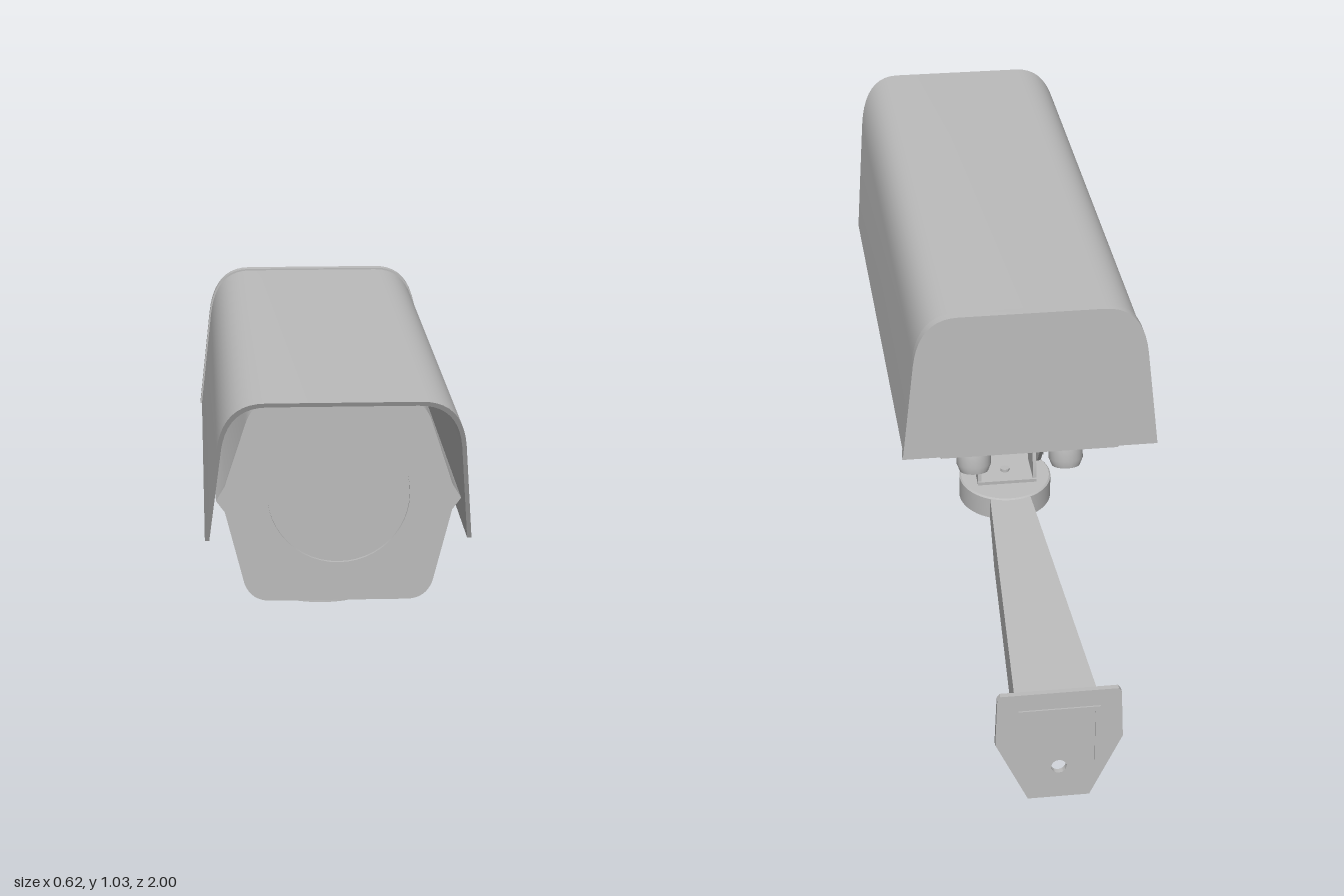
import * as THREE from 'three';
import { toCreasedNormals } from 'three/addons/utils/BufferGeometryUtils.js';

const grey = new THREE.MeshStandardMaterial({ color: 0xbcbcbc });
grey.name = 'painted metal grey';
const V = (x, y) => new THREE.Vector2(x, y);

function add(parent, name, geometry, x = 0, y = 0, z = 0) {
  const mesh = new THREE.Mesh(geometry, grey);
  mesh.name = name;
  mesh.position.set(x, y, z);
  parent.add(mesh);
  return mesh;
}

// Extrude a shape from z0 to z1, optionally moving each vertex by a rule
function slab(shape, z0, z1, rule) {
  const g = new THREE.ExtrudeGeometry(shape, { depth: z1 - z0, bevelEnabled: false, curveSegments: 24 });
  g.translate(0, 0, z0);
  if (rule) {
    const p = g.attributes.position;
    const v = new THREE.Vector3();
    for (let i = 0; i < p.count; i++) {
      v.fromBufferAttribute(p, i);
      rule(v);
      p.setXYZ(i, v.x, v.y, v.z);
    }
  }
  return toCreasedNormals(g, 0.5);
}

const bezier = (a, b, c, n = 8) => new THREE.QuadraticBezierCurve(V(...a), V(...b), V(...c)).getPoints(n);
const mirrored = (half) => [...half, ...half.map((p) => V(-p.x, p.y)).reverse()];

// Right half of the hood arch, from the lower edge to the flat top
const archHalf = (t) => [V(0.304 - t, 0.66),
  ...bezier([0.276 - t, 0.91], [0.262 - t, 1.028 - t], [0.17 - t * 0.5, 1.028 - t], 10)];

// Right half of the housing section, from the bottom to the top
const bodyHalf = [
  ...bezier([0.155, 0.518], [0.2, 0.518], [0.215, 0.56]),
  V(0.258, 0.73), V(0.278, 0.757), V(0.258, 0.79),
  ...bezier([0.212, 0.93], [0.195, 0.99], [0.14, 0.99]),
];

// Inclined line along the arm's upper surface
const armTop = (z) => 0.321 + z * 0.067;
const armHalf = (z) => 0.05 + (-0.1 - z) * 0.057;

function buildHood(root) {
  const arch = mirrored(archHalf(0));
  const inner = mirrored(archHalf(0.01)).reverse();
  const slanted = (v) => { if (v.z > 0) v.z = 0.81 + 0.19 * (v.y - 0.66) / 0.368; };
  add(root, 'sunHood', slab(new THREE.Shape([...arch, ...inner]), -0.5, 1, slanted));
  const cap = mirrored(archHalf(-0.004));
  add(root, 'hoodRearCap', slab(new THREE.Shape(cap), -0.508, -0.482));
}

function buildHousing(root) {
  const outline = mirrored(bodyHalf);
  add(root, 'housing', slab(new THREE.Shape(outline), -0.225, 0.8));
  // Rear part with an underside rising to the back
  const rise = (v) => { v.y = Math.max(v.y, 0.59 + (-0.225 - v.z) * 0.21); };
  add(root, 'housingRear', slab(new THREE.Shape(outline), -0.49, -0.225, rise));
  add(root, 'rearFlange', new THREE.BoxGeometry(0.32, 0.012, 0.025), 0, 0.515, -0.22);

  // Front plate with a round window
  const plate = new THREE.Shape(outline);
  plate.holes.push(new THREE.Path().absarc(0, 0.77, 0.162, 0, Math.PI * 2, true));
  add(root, 'frontPlate', slab(plate, 0.8, 0.818));
  add(root, 'windowGlass', new THREE.CircleGeometry(0.164, 48), 0, 0.77, 0.81);

  // Cable glands on the sloping underside
  for (const s of [1, -1]) {
    const gland = new THREE.Group();
    gland.name = 'cableGland';
    gland.position.set(s * 0.115, 0.61, -0.3);
    gland.rotation.x = 0.2;
    root.add(gland);
    add(gland, 'glandCollar', new THREE.CylinderGeometry(0.058, 0.058, 0.02, 24), 0, -0.015, 0);
    const nut = new THREE.CylinderGeometry(0.05, 0.05, 0.03, 6);
    add(gland, 'glandNut', toCreasedNormals(nut, 0.5), 0, -0.038, 0);
    const tip = [[0.043, 0], [0.043, -0.035], [0.035, -0.055], [0.02, -0.06], [0.018, -0.04], [0, -0.04]];
    const lathe = new THREE.LatheGeometry(tip.map((p) => V(...p)).reverse(), 24);
    add(gland, 'glandTip', toCreasedNormals(lathe, 0.5), 0, -0.05, 0);
  }
}

// Side plate drawn as (z, y) points, extruded along x and centred on x
function sidePlate(parent, name, points, x, thickness) {
  const g = slab(new THREE.Shape(points.map((p) => V(-p[0], p[1]))), -thickness / 2, thickness / 2);
  g.rotateY(Math.PI / 2);
  return add(parent, name, g, x);
}

function buildBracket(root) {
  add(root, 'tiltPlate', new THREE.BoxGeometry(0.18, 0.014, 0.31), 0, 0.507, -0.025);
  add(root, 'tiltPlateScrew', new THREE.CylinderGeometry(0.016, 0.016, 0.012, 16), 0, 0.496, -0.02);
  const ear = [[0.13, 0.514], [0.115, 0.478], [0.05, 0.455], [0.005, 0.385], [-0.015, 0.365],
    [-0.055, 0.365], [-0.085, 0.385], [-0.14, 0.45], [-0.185, 0.508], [-0.185, 0.514]];
  const lug = [[0.012, 0.32], [0.012, 0.365], [-0.005, 0.43], [-0.03, 0.442],
    [-0.06, 0.43], [-0.08, 0.365], [-0.08, 0.32]];
  for (const s of [1, -1]) {
    sidePlate(root, 'tiltEar', ear, s * 0.083, 0.009);
    sidePlate(root, 'swivelLug', lug, s * 0.072, 0.009);
    const bolt = (name, r, len, x, n) => {
      const g = new THREE.CylinderGeometry(r, r, len, n).rotateZ(Math.PI / 2);
      add(root, name, toCreasedNormals(g, 0.5), s * x, 0.393, -0.035);
    };
    bolt('boltShank', 0.008, 0.04, 0.076, 12);
    bolt('boltHead', 0.02, 0.012, 0.094, 6);
    bolt('boltNut', 0.015, 0.008, 0.063, 6);
  }
  add(root, 'swivelBase', new THREE.BoxGeometry(0.153, 0.01, 0.1), 0, 0.326, -0.035).rotation.x = -0.067;
  add(root, 'swivelScrew', new THREE.CylinderGeometry(0.012, 0.012, 0.01, 12), 0, 0.333, -0.035);
}

function buildArm(root) {
  // Hollow round head, open underneath
  const cup = [[0, -0.012], [0.104, -0.012], [0.104, -0.062], [0.119, -0.062], [0.119, -0.004], [0.115, 0], [0, 0]];
  const head = new THREE.LatheGeometry(cup.map((p) => V(...p)), 48);
  const headMesh = add(root, 'armHead', toCreasedNormals(head, 0.5), 0, 0.322, -0.037);
  headMesh.rotation.x = -0.067;

  // Tapered channel: top sheet and two side walls
  const z0 = -0.1, z1 = -0.985;
  const sheet = new THREE.Shape([V(-armHalf(z0), -z0), V(armHalf(z0), -z0), V(armHalf(z1), -z1), V(-armHalf(z1), -z1)]);
  const lay = (v) => {
    const z = -v.y;
    v.y = armTop(z) + v.z;
    v.z = z;
  };
  add(root, 'armTop', slab(sheet, -0.012, 0, lay));
  const wall = [[z0, armTop(z0)], [z0, 0.25], [-0.155, 0.245], [-0.285, 0.195], [-0.87, 0.153], [z1, 0.095], [z1, armTop(z1)]];
  for (const s of [1, -1]) {
    const g = slab(new THREE.Shape(wall.map((p) => V(-p[0], p[1]))), -0.006, 0.006, (v) => {
      v.z += s * (armHalf(-v.x) - 0.006);
    });
    g.rotateY(Math.PI / 2);
    add(root, 'armWall', g);
  }

  // Wall plate with a screw hole and an inverted U on its back
  const half = [V(0.073, 0.003), V(0.15, 0.165), V(0.145, 0.29), V(0.138, 0.3)];
  const plate = new THREE.Shape(mirrored(half));
  plate.holes.push(new THREE.Path().absarc(0, 0.09, 0.018, 0, Math.PI * 2, true));
  add(root, 'wallPlate', slab(plate, -0.996, -0.982));
  for (const s of [1, -1]) {
    add(root, 'wallPlateRib', new THREE.BoxGeometry(0.012, 0.15, 0.006), s * 0.09, 0.175, -0.997);
  }
  add(root, 'wallPlateTopRib', new THREE.BoxGeometry(0.192, 0.012, 0.006), 0, 0.25, -0.997);
}

export function createModel() {
  const root = new THREE.Group();
  root.name = 'securityCamera';
  buildHood(root);
  buildHousing(root);
  buildBracket(root);
  buildArm(root);
  return root;
}
